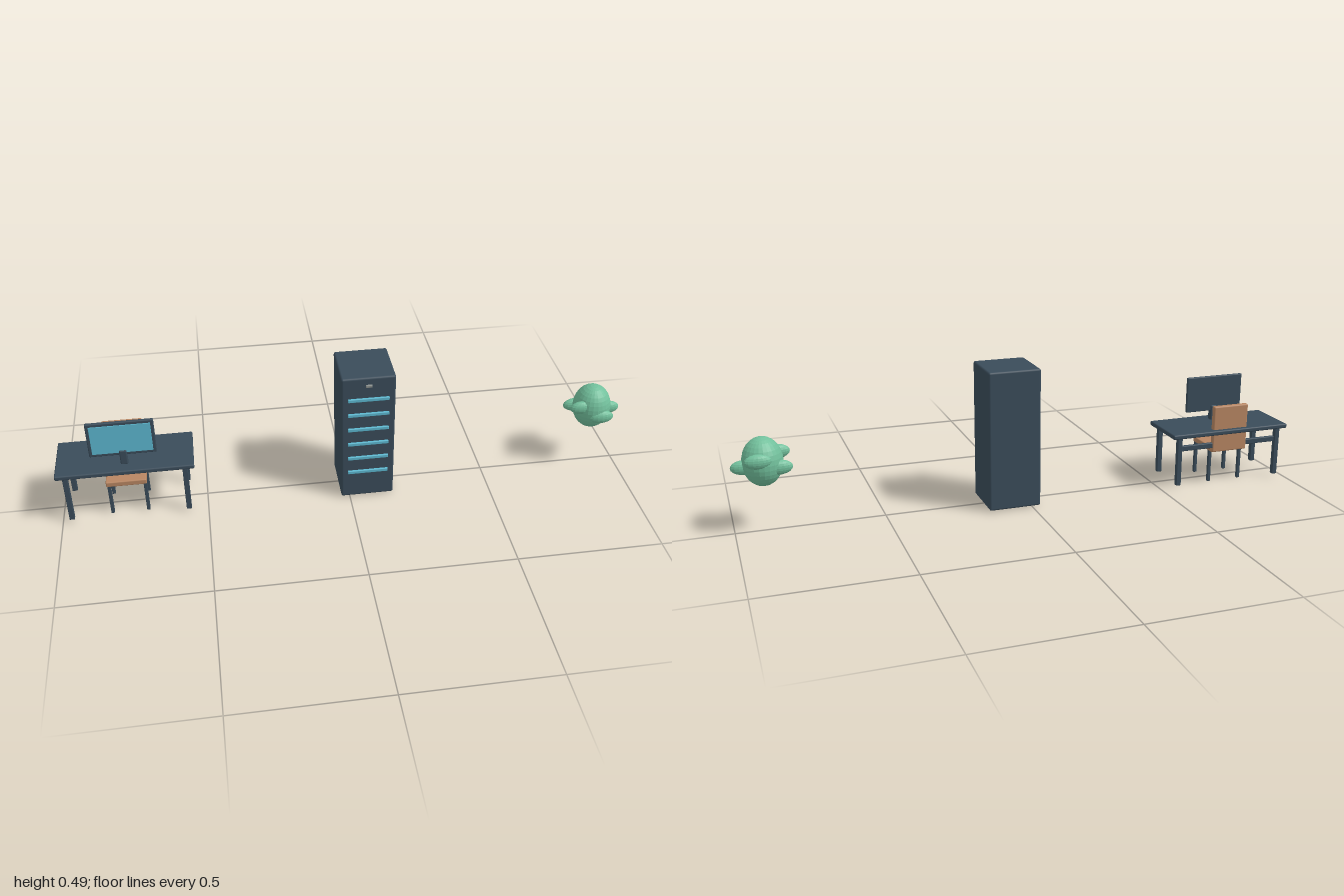
import * as THREE from 'three';
import { RoundedBoxGeometry } from 'three/addons/geometries/RoundedBoxGeometry.js';

const paint = (color, flatShading = false) => new THREE.MeshStandardMaterial({ color, flatShading });
const dark = paint(0x3a4c5a);
const teal = paint(0x5cb8d0);
const wood = paint(0xb88662);
const metal = paint(0x8a8f8c);
const green = paint(0x72c09c, true);

// Rounded box given by its min and max corners
function block(parent, name, mat, [x0, y0, z0], [x1, y1, z1], radius = 0.003) {
  const w = x1 - x0, h = y1 - y0, d = z1 - z0;
  const r = Math.min(radius, w * 0.3, h * 0.3, d * 0.3);
  const mesh = new THREE.Mesh(new RoundedBoxGeometry(w, h, d, 2, r), mat);
  mesh.position.set((x0 + x1) / 2, (y0 + y1) / 2, (z0 + z1) / 2);
  mesh.name = name;
  parent.add(mesh);
  return mesh;
}

function group(parent, name) {
  const g = new THREE.Group();
  g.name = name;
  parent.add(g);
  return g;
}

// Four square legs at every pairing of the given x and z positions
function legs(parent, name, mat, xs, zs, y0, y1, half) {
  for (const x of xs) for (const z of zs)
    block(parent, name, mat, [x - half, y0, z - half], [x + half, y1, z + half], 0.002);
}

function addDesk(root) {
  const desk = group(root, 'desk');
  block(desk, 'deskTop', dark, [-1, 0.19, -0.1], [-0.535, 0.207, 0.1], 0.005);
  legs(desk, 'deskLeg', dark, [-0.968, -0.567], [-0.08, 0.08], 0.01, 0.192, 0.009);
  block(desk, 'backRail', dark, [-0.968, 0.137, -0.081], [-0.567, 0.157, -0.068]);
}

function addChair(root) {
  const chair = group(root, 'chair');
  block(chair, 'seat', wood, [-0.84, 0.119, -0.075], [-0.702, 0.139, 0.067], 0.004);
  block(chair, 'chairBack', wood, [-0.84, 0.121, -0.084], [-0.702, 0.294, -0.064], 0.005);
  legs(chair, 'chairLeg', dark, [-0.831, -0.708], [-0.052, 0.055], 0, 0.121, 0.006);
}

function addMonitor(root) {
  const monitor = group(root, 'monitor');
  block(monitor, 'monitorCase', dark, [-0.88, 0.242, 0.042], [-0.655, 0.375, 0.054], 0.004);
  block(monitor, 'screen', teal, [-0.869, 0.253, 0.05], [-0.666, 0.364, 0.056], 0.001);
  block(monitor, 'monitorStand', dark, [-0.78, 0.205, 0.037], [-0.755, 0.262, 0.06], 0.004);
}

function addCabinet(root) {
  const cabinet = group(root, 'cabinet');
  block(cabinet, 'cabinetBody', dark, [-0.03, 0.003, -0.092], [0.155, 0.494, 0.093], 0.007);
  for (let i = 0; i < 6; i++) {
    const y = 0.11 + i * 0.06;
    block(cabinet, 'drawerHandle', teal, [-0.008, y - 0.006, 0.091], [0.133, y + 0.006, 0.1], 0.002);
  }
  block(cabinet, 'labelPlate', metal, [0.052, 0.459, 0.091], [0.074, 0.468, 0.1], 0.002);
}

function addPlant(root) {
  const plant = group(root, 'plant');
  const cx = 0.895;
  const blob = (name, x, y, z, rx, ry, rz, segs, rings) => {
    const mesh = new THREE.Mesh(new THREE.SphereGeometry(1, segs, rings), green);
    mesh.scale.set(rx, ry, rz);
    mesh.position.set(x, y, z);
    mesh.name = name;
    plant.add(mesh);
  };
  blob('plantBody', cx, 0.24, 0, 0.067, 0.083, 0.067, 24, 16);
  // Five long leaves evenly spaced round the body at alternating heights
  const heights = [0.225, 0.225, 0.257, 0.225, 0.257];
  heights.forEach((y, i) => {
    const a = (i * Math.PI * 2) / 5;
    blob('leaf', cx + 0.059 * Math.cos(a), y, 0.059 * Math.sin(a), 0.045, 0.025, 0.018, 16, 10);
  });
}

export function createModel() {
  const root = new THREE.Group();
  root.name = 'officeSet';
  for (const add of [addDesk, addChair, addMonitor, addCabinet, addPlant]) add(root);
  return root;
}
